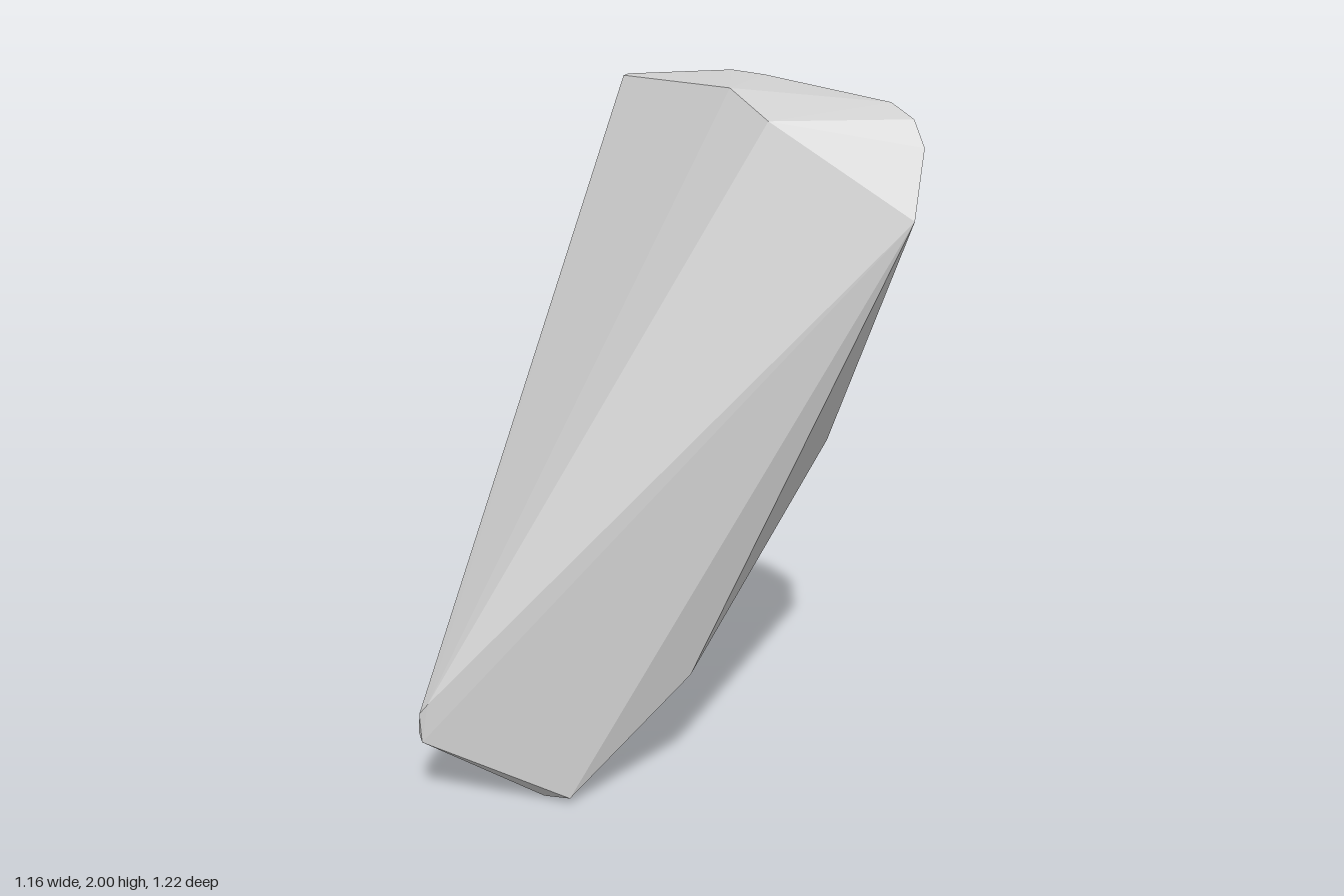
import * as THREE from 'three';
import { ConvexGeometry } from 'three/addons/geometries/ConvexGeometry.js';

// Corner points of the boulder, grouped by region
const corners = {
  crown: [
    [-0.42, 1.98, -0.31], [-0.41, 1.985, -0.32], [-0.13, 2, -0.465], [0, 1.99, -0.46],
    [0.03, 1.96, -0.285], [0.19, 1.88, -0.265],
  ],
  shoulder: [
    [0.42, 1.93, -0.49], [0.5, 1.89, -0.485], [0.545, 1.82, -0.475], [0.58, 1.64, -0.4],
  ],
  back: [
    [0.1, 1.66, -0.605], [0.06, 1.69, -0.61], [-0.14, 1.71, -0.575], [-0.17, 1.68, -0.565],
    [0.23, 0.96, -0.51], [0, 0.55, -0.38], [-0.19, 0.27, -0.22],
  ],
  flanks: [
    [-0.585, 1.08, -0.28], [-0.58, 1.2, -0.32], [-0.41, 0.41, -0.05], [-0.35, 0.2, 0],
    [0.18, 0.36, 0],
  ],
  foot: [
    [-0.2, 0.13, -0.15], [-0.07, 0.15, -0.15], [-0.18, 0.11, -0.11],
    [-0.29, 0.06, 0.28], [-0.26, 0.03, 0.3], [-0.08, 0, 0.33], [0.01, 0.02, 0.31],
  ],
  toe: [
    [-0.27, 0.2, 0.61], [-0.29, 0.22, 0.605], [-0.285, 0.28, 0.605], [-0.265, 0.31, 0.59],
  ],
};

export function createModel() {
  const group = new THREE.Group();
  group.name = 'rock';

  // One leaning faceted boulder, wrapped tightly around its corners
  const points = Object.values(corners).flat().map((p) => new THREE.Vector3(...p));
  const boulder = new THREE.Mesh(
    new ConvexGeometry(points),
    new THREE.MeshStandardMaterial({ color: 0xcccccc, flatShading: true }),
  );
  boulder.name = 'boulder';
  group.add(boulder);
  return group;
}
